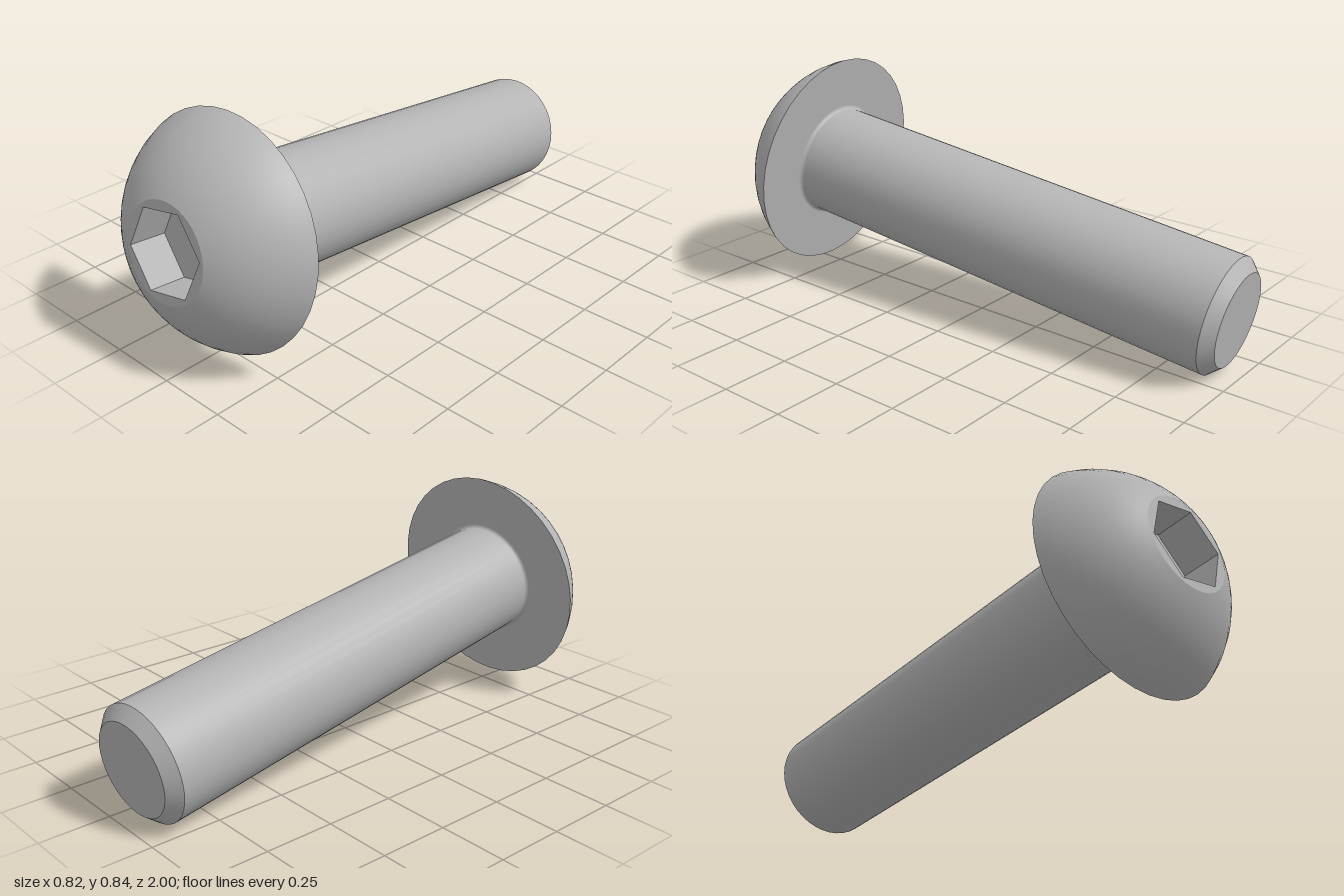
import * as THREE from 'three';

const RIM_R = 0.41, HEAD_H = 0.241, FLAT_R = 0.17;
const SHAFT_R = 0.2085, SHAFT_L = 1.733, CHAMFER = 0.042, FILLET = 0.014;
const HEX_R = 0.155, HEX_DEPTH = 0.138, HEX_TURN = THREE.MathUtils.degToRad(9.2);
const SEGMENTS = 40;

export function createModel() {
  const steel = new THREE.MeshStandardMaterial({ color: 0xb4b4b4 });
  steel.name = 'steel grey';

  // The screw is built along +z, with the underside of the head at z = 0
  const screw = new THREE.Group();
  screw.name = 'screw';
  const add = (name, geometry) => {
    const mesh = new THREE.Mesh(geometry, steel);
    mesh.name = name;
    screw.add(mesh);
  };
  // Turned surface from [radius, z] pairs, listed from the tip to the head
  const turned = (pairs) =>
    new THREE.LatheGeometry(pairs.map(([r, z]) => new THREE.Vector2(r, z)), SEGMENTS).rotateX(Math.PI / 2);

  // Shaft with chamfered tip
  add('shaftTip', turned([[0, -SHAFT_L], [SHAFT_R - CHAMFER, -SHAFT_L]]));
  add('shaftChamfer', turned([[SHAFT_R - CHAMFER, -SHAFT_L], [SHAFT_R, CHAMFER - SHAFT_L]]));
  add('shaft', turned([[SHAFT_R, CHAMFER - SHAFT_L], [SHAFT_R, -FILLET]]));

  // Small fillet where the shaft meets the head
  const fillet = [];
  for (let i = 0; i <= 5; i++) {
    const a = (i / 5) * Math.PI / 2;
    fillet.push([SHAFT_R + FILLET * (1 - Math.cos(a)), -FILLET * (1 - Math.sin(a))]);
  }
  add('neckFillet', turned(fillet));
  add('headUnderside', turned([[SHAFT_R + FILLET, 0], [RIM_R, 0]]));

  // Domed head: a spherical arc from the rim to the front flat
  const centre = (FLAT_R ** 2 + HEAD_H ** 2 - RIM_R ** 2) / (2 * HEAD_H);
  const radius = Math.hypot(RIM_R, centre);
  const from = Math.asin(RIM_R / radius), to = Math.asin(FLAT_R / radius);
  const dome = [];
  for (let i = 0; i <= 14; i++) {
    const a = THREE.MathUtils.lerp(from, to, i / 14);
    dome.push([radius * Math.sin(a), centre + radius * Math.cos(a)]);
  }
  add('headDome', turned(dome));

  // Front flat with a hexagonal opening
  const flat = new THREE.Shape().absarc(0, 0, FLAT_R, 0, Math.PI * 2);
  const hex = [];
  for (let i = 0; i < 6; i++) {
    const a = HEX_TURN - i * Math.PI / 3;
    hex.push(new THREE.Vector2(HEX_R * Math.cos(a), HEX_R * Math.sin(a)));
  }
  flat.holes.push(new THREE.Path(hex));
  add('headFlat', new THREE.ShapeGeometry(flat, SEGMENTS / 2).translate(0, 0, HEAD_H));

  // Socket walls, mirrored so that they face inward, and the socket floor
  const walls = new THREE.CylinderGeometry(HEX_R, HEX_R, HEX_DEPTH, 6, 1, true)
    .scale(-1, 1, 1).rotateX(Math.PI / 2).rotateZ(HEX_TURN + Math.PI / 6)
    .translate(0, 0, HEAD_H - HEX_DEPTH / 2).toNonIndexed();
  walls.computeVertexNormals();
  add('socketWalls', walls);
  add('socketFloor', new THREE.CircleGeometry(HEX_R, 6).rotateZ(HEX_TURN).translate(0, 0, HEAD_H - HEX_DEPTH));

  // Lay the screw down, resting on its tip and tilted up toward the head
  const axis = new THREE.Vector3(0.067, 0.136, 1).normalize();
  screw.quaternion.setFromUnitVectors(new THREE.Vector3(0, 0, 1), axis);
  screw.position.set(0, 0.437, 0.737);

  const model = new THREE.Group();
  model.name = 'buttonHeadScrew';
  model.add(screw);
  return model;
}
